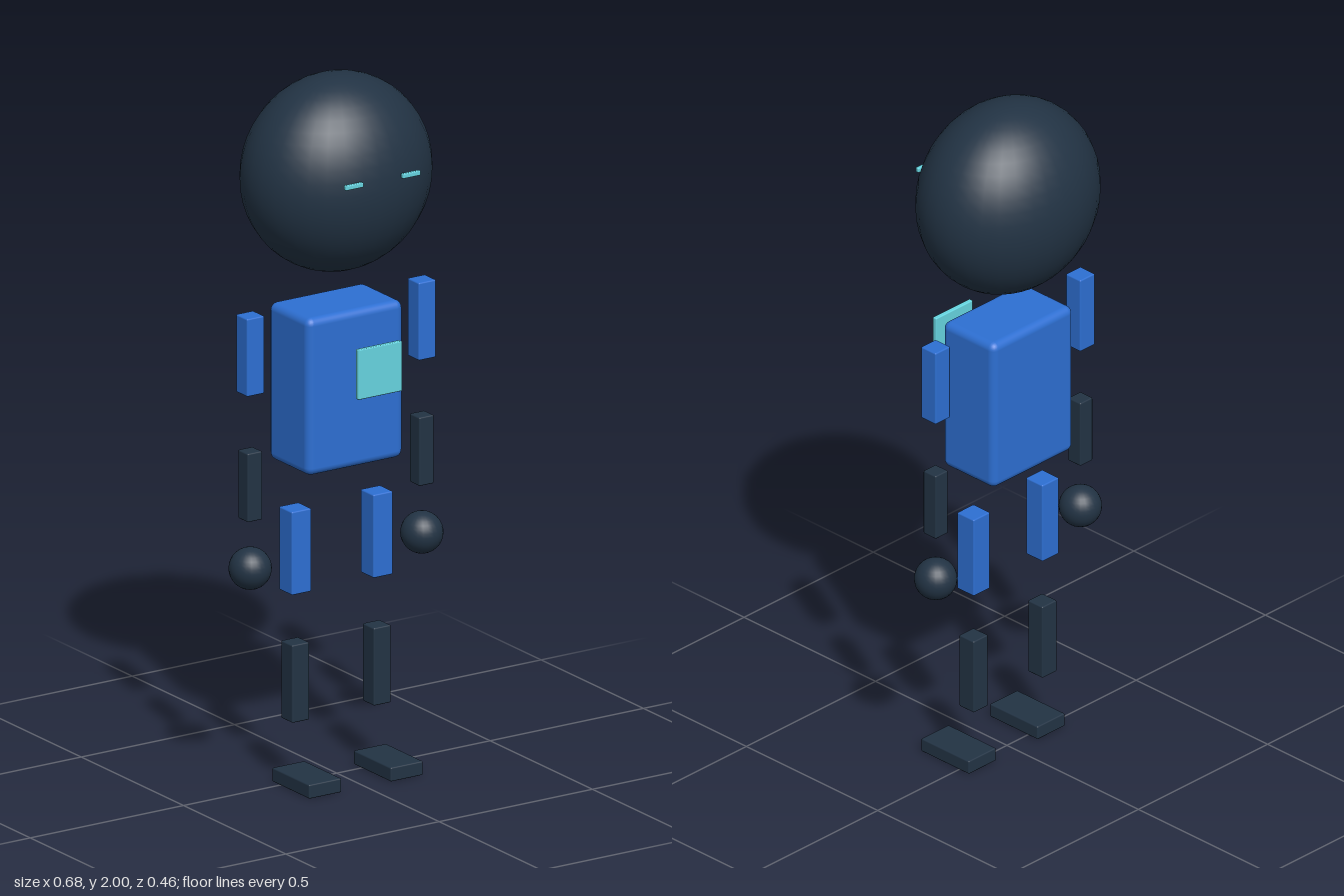
import * as THREE from 'three';
import { RoundedBoxGeometry } from 'three/addons/geometries/RoundedBoxGeometry.js';

const Z = -0.004; // depth of the body's centre line

export function createModel() {
  const model = new THREE.Group();
  model.name = 'robotFigure';

  const dark = new THREE.MeshStandardMaterial({ color: 0x223344 });
  const blue = new THREE.MeshStandardMaterial({ color: 0x2d6fd2 });
  const cyan = new THREE.MeshStandardMaterial({ color: 0x66d4e0 });

  function add(name, geometry, material, x, y, z) {
    const mesh = new THREE.Mesh(geometry, material);
    mesh.name = name;
    mesh.position.set(x, y, z);
    model.add(mesh);
    return mesh;
  }
  const box = (w, h, d, r) => new RoundedBoxGeometry(w, h, d, 3, r);

  // Head: a sphere flattened from front to back
  const head = add('head', new THREE.SphereGeometry(0.278, 32, 24), dark, 0, 1.722, Z);
  head.scale.z = 0.808;

  // Torso and the panel floating in front of it
  add('torso', box(0.314, 0.45, 0.198, 0.022), blue, 0, 1.125, Z);
  add('chestPanel', box(0.143, 0.143, 0.014, 0.003), cyan, 0, 1.21, 0.206);

  // Paired parts, mirrored across x
  for (const [side, s] of [['left', 1], ['right', -1]]) {
    add(side + 'Eye', box(0.058, 0.014, 0.012, 0.003), cyan, s * 0.093, 1.757, 0.222);

    add(side + 'UpperArm', box(0.057, 0.222, 0.056, 0.004), blue, s * 0.28, 1.25, Z);
    add(side + 'Forearm', box(0.048, 0.196, 0.048, 0.004), dark, s * 0.28, 0.876, Z);
    add(side + 'Hand', new THREE.SphereGeometry(0.059, 24, 16), dark, s * 0.28, 0.637, Z);

    add(side + 'Thigh', box(0.064, 0.238, 0.064, 0.004), blue, s * 0.133, 0.665, Z);
    add(side + 'Shin', box(0.056, 0.222, 0.056, 0.004), dark, s * 0.133, 0.29, Z);
    add(side + 'Foot', box(0.106, 0.04, 0.182, 0.004), dark, s * 0.133, 0.02, 0.053);
  }

  return model;
}
